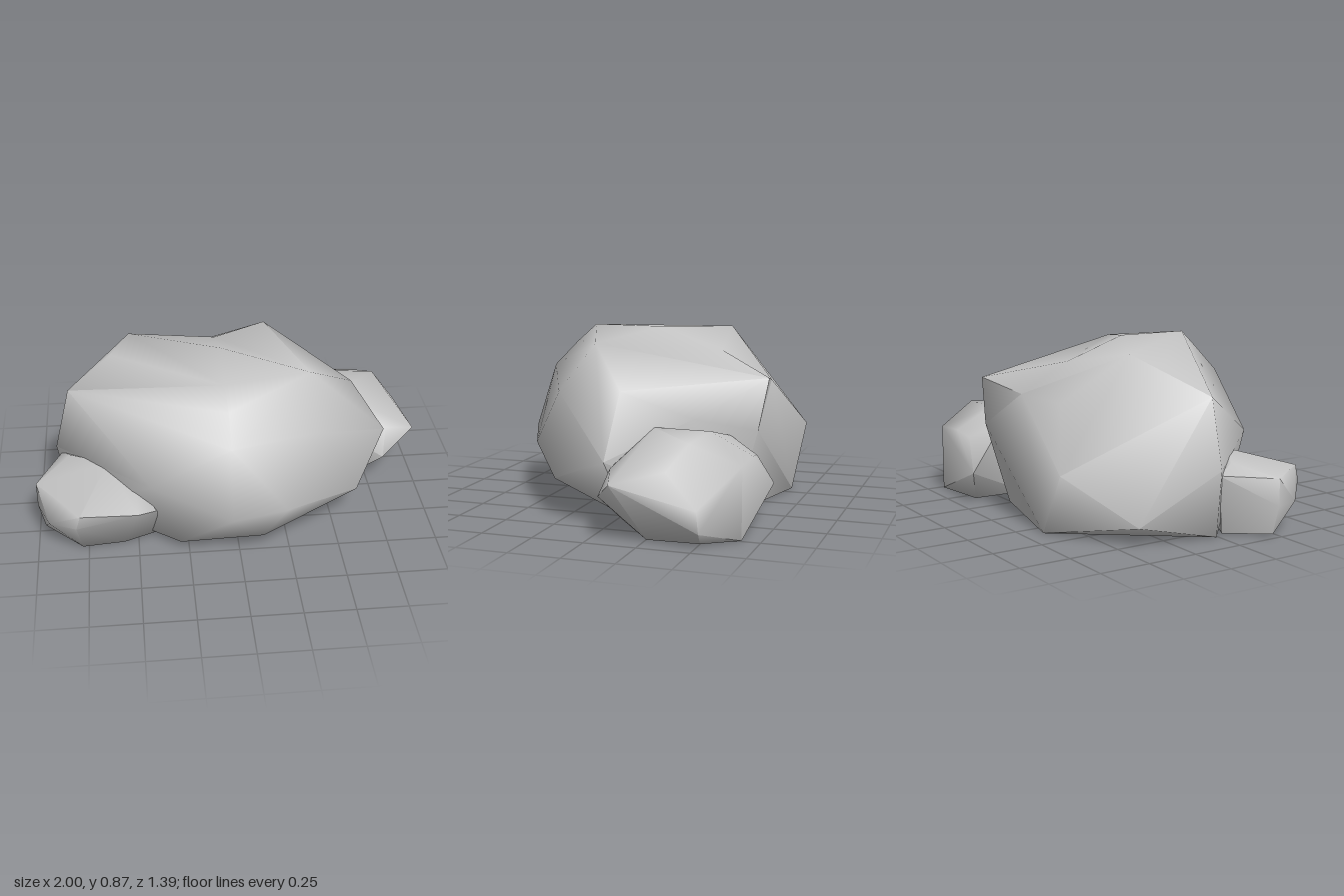
import * as THREE from 'three';
import { toCreasedNormals } from 'three/addons/utils/BufferGeometryUtils.js';
import { ConvexGeometry } from 'three/addons/geometries/ConvexGeometry.js';

const stone = new THREE.MeshStandardMaterial({ name: 'grey stone', color: 0xc6c6c6 });

// A boulder is the hull of its corners, soft across shallow edges.
// Each dent is a hull corner that is then pressed in by an offset.
function boulder(name, corners, dents = []) {
  const pressed = dents.map(([from, by]) => [new THREE.Vector3(...from), new THREE.Vector3(...by)]);
  const points = corners.map((c) => new THREE.Vector3(...c));
  const hull = new ConvexGeometry([...points, ...pressed.map(([from]) => from)]);

  const position = hull.attributes.position;
  const v = new THREE.Vector3();
  for (let i = 0; i < position.count; i++) {
    v.fromBufferAttribute(position, i);
    const dent = pressed.find(([from]) => from.distanceTo(v) < 0.001);
    if (dent) position.setXYZ(i, ...v.add(dent[1]).toArray());
  }

  const mesh = new THREE.Mesh(toCreasedNormals(hull, 1.15), stone);
  mesh.name = name;
  return mesh;
}

export function createModel() {
  const group = new THREE.Group();
  group.name = 'rockCluster';

  group.add(boulder('mainBoulder', [
    // foot
    [0.62, 0.03, -0.07], [0.1, 0, 0.33], [0.12, 0.09, 0.51], [-0.29, 0.04, 0.46], [-0.25, 0, 0.4],
    [-0.84, 0, -0.01], [-0.79, 0.09, -0.41], [-0.34, 0, -0.65], [0.28, 0, -0.5],
    // waist
    [0.82, 0.33, -0.03], [0.62, 0.19, 0.3], [0.23, 0.28, 0.57], [-0.05, 0.32, 0.69],
    [-0.43, 0.39, 0.48], [-0.9, 0.33, -0.03], [-0.55, 0.32, -0.68], [0.3, 0.42, -0.62],
    // shoulders
    [0.63, 0.63, -0.04], [0.42, 0.58, 0.36], [-0.05, 0.65, 0.58], [-0.82, 0.66, -0.03],
    [0.25, 0.67, -0.66],
    // crown
    [0.38, 0.82, 0.18], [-0.06, 0.87, 0.35], [-0.05, 0.78, 0.45],
    [-0.05, 0.87, -0.02], [-0.5, 0.84, -0.27], [-0.6, 0.78, -0.16],
  ], [
    // hollow across the back
    [[-0.05, 0.62, -0.72], [0, 0, 0.12]],
    [[-0.3, 0.6, -0.7], [0, 0, 0.17]],
    [[-0.05, 0.84, -0.36], [0, -0.08, 0.02]],
    // hollow above the back boulder
    [[0.57, 0.5, -0.38], [-0.1, -0.01, 0.03]],
  ]));

  group.add(boulder('frontBoulder', [
    // foot
    [-0.97, 0.01, 0.22], [-0.78, 0, 0.4], [-0.57, 0, 0.38], [-0.38, 0, 0.3], [-0.8, 0, 0.05],
    // sides
    [-1, 0.15, 0.23], [-1, 0.28, 0.23], [-0.94, 0.14, 0.38], [-0.8, 0.2, 0.52],
    [-0.78, 0.27, 0.52], [-0.5, 0.26, 0.515], [-0.41, 0.24, 0.46], [-0.38, 0.16, 0.38],
    // top
    [-0.83, 0.345, 0.08], [-0.64, 0.365, 0.2], [-0.5, 0.335, 0.25], [-0.87, 0.3, -0.02],
  ]));

  group.add(boulder('backBoulder', [
    // foot
    [0.6, 0, -0.13], [0.66, 0.02, -0.07], [0.86, 0, -0.25], [0.85, 0, -0.5], [0.74, 0, -0.66],
    [0.43, 0, -0.62], [0.42, 0, -0.33],
    // sides
    [0.82, 0.17, 0], [1, 0.27, -0.12], [0.95, 0.07, -0.52], [0.95, 0.17, -0.51],
    [0.93, 0.33, -0.36], [0.74, 0.34, -0.66], [0.55, 0.35, -0.66], [0.43, 0.33, -0.65],
    [0.29, 0.17, -0.7], [0.84, 0.31, -0.07], [0.62, 0.3, -0.02],
    // top
    [0.83, 0.445, -0.44], [0.6, 0.465, -0.2], [0.56, 0.455, -0.46], [0.35, 0.4, -0.5],
  ]));

  return group;
}
